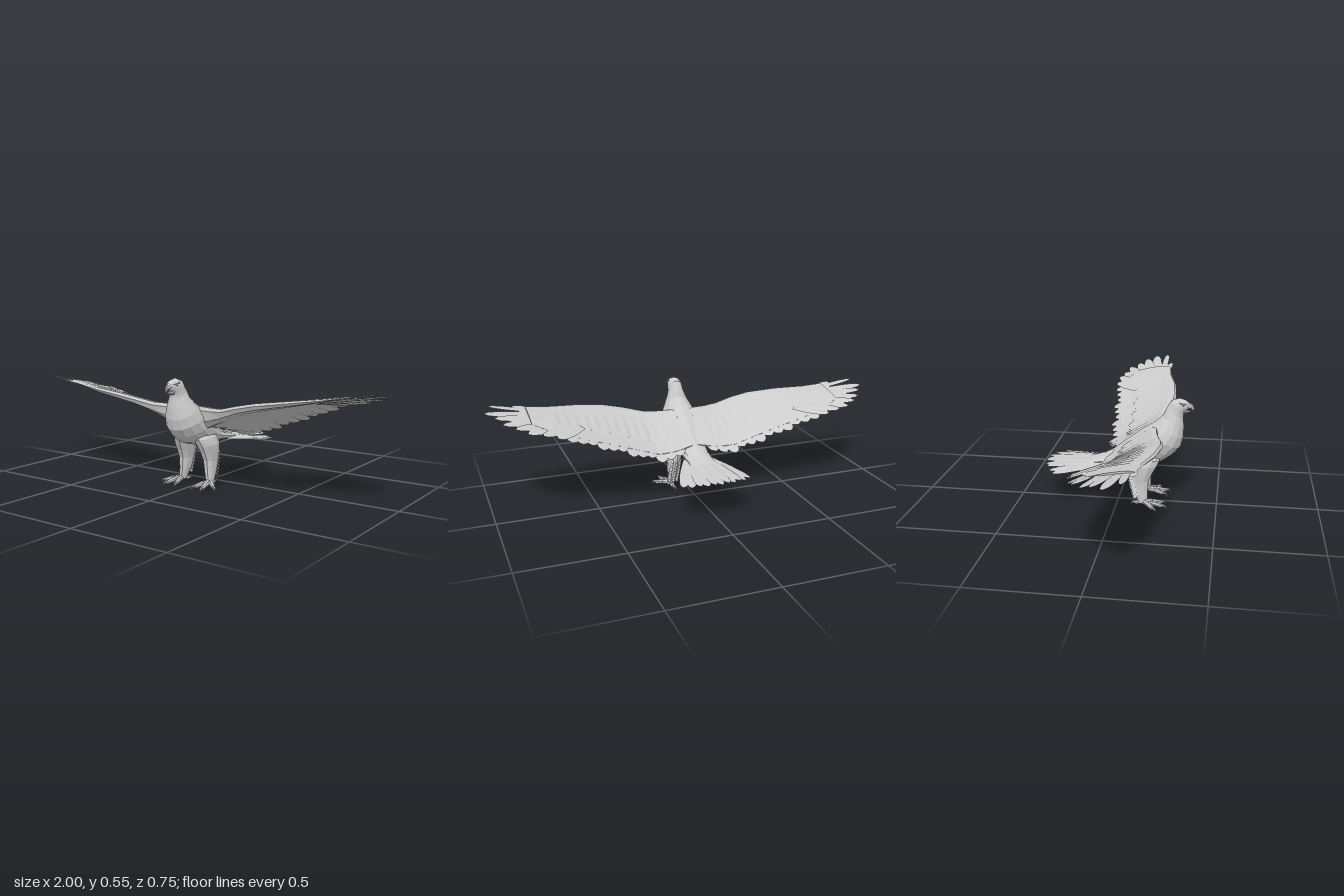
import * as THREE from 'three';
import { mergeGeometries } from 'three/addons/utils/BufferGeometryUtils.js';

const V = (x, y, z) => new THREE.Vector3(x, y, z);
const solid = new THREE.MeshStandardMaterial({ color: 0xcccccc, flatShading: true });
const thin = new THREE.MeshStandardMaterial({ color: 0xcccccc, flatShading: true, side: THREE.DoubleSide });

function add(parent, name, geometry, material = solid) {
  const mesh = new THREE.Mesh(geometry, material);
  mesh.name = name;
  parent.add(mesh);
  return mesh;
}

function toGeometry(points, index) {
  const g = new THREE.BufferGeometry().setFromPoints(points);
  g.setIndex(index);
  g.computeVertexNormals();
  return g;
}

// Closed skin over a list of rings, with both ends capped
function skin(rings) {
  const n = rings[0].length, points = rings.flat(), index = [];
  for (let i = 0; i < rings.length - 1; i++) for (let j = 0; j < n; j++) {
    const a = i * n + j, b = i * n + (j + 1) % n;
    index.push(a, b, a + n, b, b + n, a + n);
  }
  const last = (rings.length - 1) * n;
  for (let j = 1; j < n - 1; j++) index.push(0, j + 1, j, last, last + j, last + j + 1);
  return toGeometry(points, index);
}

// Elliptic sections: [z, y] of the front/lower point, [z, y] of the back/upper point, half width, centre x
function loft(sections, sides, side = 1) {
  return skin(sections.map(([z0, y0, z1, y1, w, cx = 0]) => Array.from({ length: sides }, (_, j) => {
    const a = j / sides * Math.PI * 2, c = Math.cos(a) / 2;
    return V(cx * side + w * Math.sin(a), (y0 + y1) / 2 + (y1 - y0) * c, (z0 + z1) / 2 + (z1 - z0) * c);
  })));
}

// Flat leaf-shaped feather with a slightly raised quill
function feather(base, tip, half, normal) {
  const axis = tip.clone().sub(base);
  const wide = normal.clone().cross(axis).normalize();
  const points = [], index = [];
  [[0, 0.6], [0.45, 1], [0.8, 0.92], [0.94, 0.62], [1, 0.08]].forEach(([t, w], i) => {
    const p = base.clone().addScaledVector(axis, t);
    points.push(p.clone().addScaledVector(wide, -half * w),
      p.clone().addScaledVector(normal, 0.003 * w), p.clone().addScaledVector(wide, half * w));
    if (i) for (const k of [0, 1]) {
      const a = i * 3 - 3 + k;
      index.push(a, a + 1, a + 3, a + 1, a + 4, a + 3);
    }
  });
  return toGeometry(points, index);
}

// Tapered segment between two points
function segment(a, b, r0, r1, sides = 7) {
  const d = b.clone().sub(a);
  const g = new THREE.CylinderGeometry(r1, r0, d.length(), sides);
  g.applyQuaternion(new THREE.Quaternion().setFromUnitVectors(V(0, 1, 0), d.normalize()));
  const m = a.clone().add(b).multiplyScalar(0.5);
  return g.translate(m.x, m.y, m.z);
}

// Wing stations: x, leading z, leading y, trailing z, trailing y, half thickness, depth of the underside
const STATIONS = [
  [0.015, 0.2, 0.388, -0.045, 0.255, 0.03, 0.06], [0.08, 0.205, 0.388, -0.06, 0.242, 0.03, 0.06],
  [0.13, 0.212, 0.389, -0.067, 0.236, 0.028, 0.04], [0.2, 0.228, 0.393, -0.075, 0.237, 0.026, 0.012],
  [0.3, 0.249, 0.417, -0.077, 0.268, 0.023, 0.002], [0.4, 0.257, 0.436, -0.084, 0.303, 0.021, 0],
  [0.55, 0.241, 0.454, -0.095, 0.355, 0.016, 0], [0.7, 0.202, 0.47, -0.1, 0.41, 0.009, 0],
  [0.8, 0.185, 0.485, -0.03, 0.445, 0.004, 0]];

function wing(side) {
  const group = new THREE.Group();
  group.name = side > 0 ? 'leftWing' : 'rightWing';
  // the left wing is held a little higher than the right
  const place = (x, y, z) => V(x * side, y + side * 0.035 * Math.max(0, x - 0.2), z);
  const station = x => {
    let i = 0;
    while (i < STATIONS.length - 2 && x > STATIONS[i + 1][0]) i++;
    const a = STATIONS[i], b = STATIONS[i + 1], t = (x - a[0]) / (b[0] - a[0]);
    return a.map((v, k) => v + (b[k] - v) * t);
  };
  const at = (x, c, lift = 0, sag = 0) => {
    const [, zl, yl, zt, yt, th, deep] = station(x);
    return place(x, yl + (yt - yl) * c + 0.04 * c * (1 - c) + lift * th - sag * deep, zl + (zt - zl) * c);
  };
  const normal = x => {
    const n = at(x, 0).sub(at(x, 1)).cross(at(x + 0.03, 0.5).sub(at(x - 0.03, 0.5))).normalize();
    return n.y < 0 ? n.negate() : n;
  };

  // arm and covert panel: chord, thickness, share of the underside depth
  const profile = [[0, 0, 0], [0.03, 0.7, 0], [0.12, 1, 0], [0.3, 0.7, 0], [0.6, 0.25, 0], [0.88, 0.06, 0],
    [0.88, -0.06, 0], [0.6, -0.15, 0.45], [0.3, -0.3, 0.8], [0.12, -0.8, 0.9], [0.03, -0.7, 0.55]];
  add(group, 'wingArm', skin(STATIONS.map(s => profile.map(([c, f, d]) => at(s[0], c, f, d)))), thin);

  // broad trailing feathers and the shorter coverts above them
  const secondaries = [], coverts = [];
  for (let i = 0; i < 13; i++) {
    const x = 0.085 + i * 0.049, long = 1 + (i % 3 - 1) * 0.025;
    secondaries.push(feather(at(x - 0.015, 0.4), at(x + 0.012, long), 0.037, normal(x)));
    coverts.push(feather(at(x, 0.2, 0.75), at(x + 0.008, 0.66 + (i % 2) * 0.04, 0.4), 0.03, normal(x)));
  }
  add(group, 'secondaryFeathers', mergeGeometries(secondaries), thin);
  add(group, 'covertFeathers', mergeGeometries(coverts), thin);

  // fanned fingers at the wing tip
  const plane = (x, z, k) => place(x, 0.47 + 0.15 * (x - 0.7) + 0.2 * (z - 0.2) + k, z);
  const tips = [[0.7, -0.105], [0.765, -0.1], [0.83, -0.08], [0.88, -0.055], [0.93, -0.01],
    [0.96, 0.035], [1, 0.088], [0.975, 0.155], [0.86, 0.187]];
  add(group, 'primaryFeathers', mergeGeometries(tips.map(([x, z], i) => {
    const t = i / (tips.length - 1);
    return feather(plane(0.56 + 0.12 * t, 0.02 + 0.145 * t, 0), plane(x, z, (i % 2) * 0.006),
      i > 6 ? 0.019 : 0.029, normal(0.68));
  })), thin);
  return group;
}

function leg(side) {
  const group = new THREE.Group();
  group.name = side > 0 ? 'leftLeg' : 'rightLeg';
  // feathered thigh and shank
  add(group, 'thigh', loft([
    [0.2, 0.285, 0.09, 0.28, 0.025, 0.05], [0.22, 0.245, 0.062, 0.25, 0.04, 0.06],
    [0.203, 0.212, 0.055, 0.215, 0.042, 0.068],
    [0.182, 0.175, 0.058, 0.17, 0.037, 0.071], [0.165, 0.135, 0.066, 0.13, 0.03, 0.073],
    [0.161, 0.08, 0.085, 0.075, 0.025, 0.076], [0.16, 0.045, 0.1, 0.045, 0.02, 0.08],
    [0.158, 0.022, 0.115, 0.022, 0.018, 0.083]], 9, side));
  // ragged feather tufts down the back of the leg
  const tufts = [];
  for (let i = 0; i < 8; i++) {
    const y = 0.18 - i * 0.016, z = 0.075 + i * 0.004;
    for (const dx of [-0.012, 0.004, 0.02]) {
      const x = side * (0.07 + i * 0.001 + dx);
      tufts.push(feather(V(x, y + 0.02, z + 0.02), V(x + side * dx * 0.3, y - 0.02, z - 0.024 + Math.abs(dx) * 0.5),
        0.01, V(side * 0.8, 0.3, -0.5)));
    }
  }
  add(group, 'legFeathers', mergeGeometries(tufts), thin);
  // four toes with hooked claws
  const toes = [];
  const ankle = V(side * 0.085, 0.028, 0.14);
  for (const [x, z] of [[0.058, 0.222], [0.105, 0.232], [0.142, 0.19], [0.078, 0.1]]) {
    const end = V(side * x, 0.018, z);
    const dir = end.clone().sub(ankle).setY(0).normalize();
    const knuckle = ankle.clone().lerp(end, 0.5).setY(0.027);
    const bend = end.clone().addScaledVector(dir, 0.016).setY(0.022);
    const claw = end.clone().addScaledVector(dir, 0.028).setY(0.002);
    toes.push(segment(ankle, knuckle, 0.014, 0.012), segment(knuckle, end, 0.013, 0.01),
      segment(end, bend, 0.009, 0.006), segment(bend, claw, 0.006, 0.0005));
  }
  add(group, 'foot', mergeGeometries(toes));
  return group;
}

export function createModel() {
  const model = new THREE.Group();
  model.name = 'eagle';

  // head, neck, trunk and rump
  add(model, 'body', loft([
    [0.346, 0.494, 0.346, 0.527, 0.013], [0.336, 0.488, 0.328, 0.54, 0.026],
    [0.325, 0.475, 0.298, 0.547, 0.034], [0.322, 0.46, 0.262, 0.535, 0.037],
    [0.322, 0.445, 0.24, 0.5, 0.041], [0.325, 0.4, 0.222, 0.46, 0.058],
    [0.324, 0.35, 0.185, 0.425, 0.08], [0.312, 0.3, 0.13, 0.39, 0.095],
    [0.28, 0.262, 0.07, 0.345, 0.097], [0.23, 0.226, 0.015, 0.303, 0.09],
    [0.16, 0.208, -0.03, 0.268, 0.078], [0.06, 0.207, -0.075, 0.244, 0.068],
    [-0.06, 0.204, -0.12, 0.228, 0.066], [-0.16, 0.2, -0.17, 0.212, 0.075]], 14));

  // hooked beak, slightly open
  add(model, 'upperBeak', loft([
    [0.366, 0.477, 0.37, 0.479, 0.001], [0.365, 0.488, 0.374, 0.497, 0.005],
    [0.357, 0.496, 0.365, 0.517, 0.01], [0.342, 0.494, 0.342, 0.529, 0.017],
    [0.32, 0.494, 0.32, 0.525, 0.02]], 8));
  add(model, 'lowerBeak', loft([
    [0.358, 0.478, 0.358, 0.483, 0.002], [0.346, 0.474, 0.346, 0.487, 0.01],
    [0.318, 0.47, 0.318, 0.492, 0.02]], 8));

  for (const side of [1, -1]) {
    // eye under a heavy brow
    add(model, 'eye', new THREE.SphereGeometry(0.006, 8, 6)).position.set(side * 0.027, 0.519, 0.321);
    add(model, 'brow', segment(V(side * 0.019, 0.522, 0.336), V(side * 0.029, 0.529, 0.304), 0.004, 0.005, 6));
    model.add(wing(side), leg(side));
  }

  // fanned tail, drooping towards its corners
  const tail = [];
  for (let i = -5; i <= 5; i++) {
    const u = i / 5, y = 0.2 - 0.02 * u * u;
    tail.push(feather(V(0.058 * u, 0.224 - 0.01 * u * u, -0.04),
      V(0.168 * u, y + (i % 2 ? 0.005 : 0), -0.372 + 0.065 * u * u), 0.027, V(0.15 * u, 1, -0.08).normalize()));
  }
  add(model, 'tailFeathers', mergeGeometries(tail), thin);
  return model;
}
